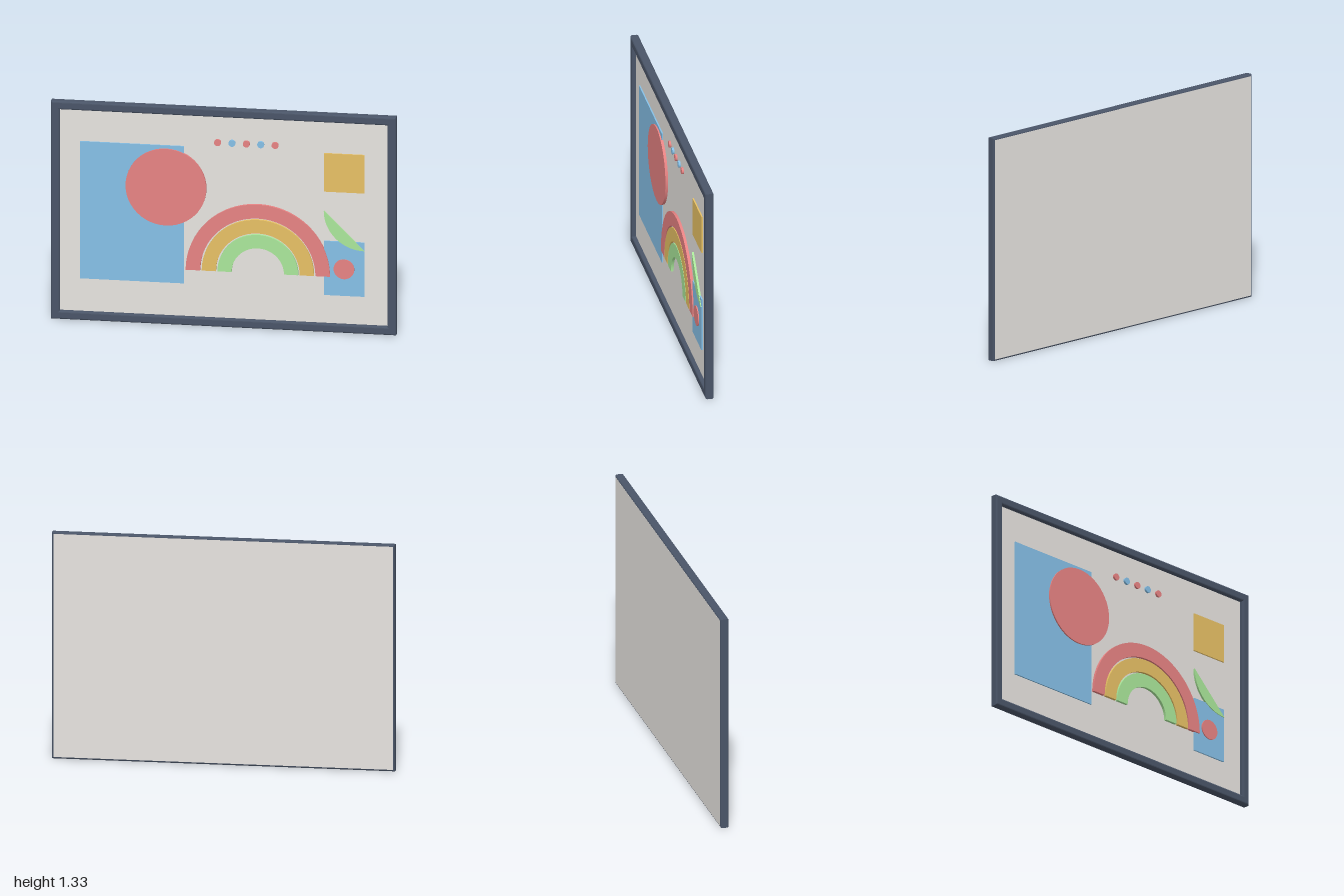
import * as THREE from 'three';

const mat = (name, color) => {
  const m = new THREE.MeshStandardMaterial({ color });
  m.name = name;
  return m;
};

export function createModel() {
  const group = new THREE.Group();
  group.name = 'framedPicture';
  const slate = mat('slate', 0x4a5568), paper = mat('paper', 0xf2efeb);
  const red = mat('red', 0xff9191), blue = mat('blue', 0x94d4ff);
  const yellow = mat('yellow', 0xffd570), green = mat('green', 0xb9fba8);

  const W = 2, H = 1.33, MID = H / 2, BAR = 0.05, DEPTH = 0.05, BEVEL = 0.01;

  const add = (name, geometry, material, x, y, z) => {
    const mesh = new THREE.Mesh(geometry, material);
    mesh.name = name;
    mesh.position.set(x, y, z);
    group.add(mesh);
  };
  const rectPoints = (w, h) => [[-w, -h], [w, -h], [w, h], [-w, h]]
    .map(([x, y]) => new THREE.Vector2(x / 2, y / 2));

  // Frame: bevelled rectangular ring
  const ring = new THREE.Shape(rectPoints(W - 2 * BEVEL, H - 2 * BEVEL));
  ring.holes.push(new THREE.Path(
    rectPoints(W - 2 * BAR + 2 * BEVEL, H - 2 * BAR + 2 * BEVEL).reverse()));
  const frame = new THREE.ExtrudeGeometry(ring, {
    depth: DEPTH - 2 * BEVEL, bevelEnabled: true,
    bevelSize: BEVEL, bevelThickness: BEVEL, bevelSegments: 3,
  });
  add('frame', frame, slate, 0, MID, -DEPTH / 2 + BEVEL);

  // Backing panel, its front recessed behind the frame
  add('canvas', new THREE.BoxGeometry(W - 0.02, H - 0.02, 0.0255), paper, 0, MID, -0.01275);

  // Raised cut-outs, each rising from the panel to its own height
  const block = (name, material, x0, x1, y0, y1, height) =>
    add(name, new THREE.BoxGeometry(x1 - x0, y1 - y0, height), material,
      (x0 + x1) / 2, (y0 + y1) / 2, height / 2);
  const disc = (name, material, x, y, r, height) =>
    add(name, new THREE.CylinderGeometry(r, r, height, 48).rotateX(Math.PI / 2),
      material, x, y, height / 2);
  const cutout = (name, shape, material, x, y, height) =>
    add(name, new THREE.ExtrudeGeometry(shape, {
      depth: height, bevelEnabled: false, curveSegments: 40,
    }), material, x, y, 0);

  block('largePanel', blue, -0.835, -0.232, 0.25, 1.087, 0.008);
  disc('largeDisc', red, -0.335, 0.835, 0.234, 0.016);

  // Three nested arches
  [[red, 0.334, 0.418], [yellow, 0.243, 0.325], [green, 0.152, 0.234]]
    .forEach(([material, inner, outer], i) => {
      const arch = new THREE.Shape();
      arch.absarc(0, 0, outer, 0, Math.PI, false);
      arch.absarc(0, 0, inner, Math.PI, 0, true);
      arch.closePath();
      cutout(`arch${i + 1}`, arch, material, 0.198, 0.337, 0.016);
    });

  // Right-hand column
  block('square', yellow, 0.58, 0.815, 0.853, 1.087, 0.008);
  block('smallPanel', blue, 0.58, 0.815, 0.222, 0.552, 0.008);
  disc('smallDisc', red, 0.697, 0.386, 0.06, 0.014);
  const quarter = new THREE.Shape();
  quarter.moveTo(0, 0);
  quarter.absarc(0, 0, 0.235, Math.PI, Math.PI * 1.5, false);
  quarter.closePath();
  cutout('quarterDisc', quarter, green, 0.815, 0.737, 0.012);

  // Row of dots in alternating colours
  for (let i = 0; i < 5; i++) {
    disc(`dot${i + 1}`, i % 2 ? blue : red, -0.036 + i * 0.0833, 1.12, 0.02, 0.012);
  }

  return group;
}
